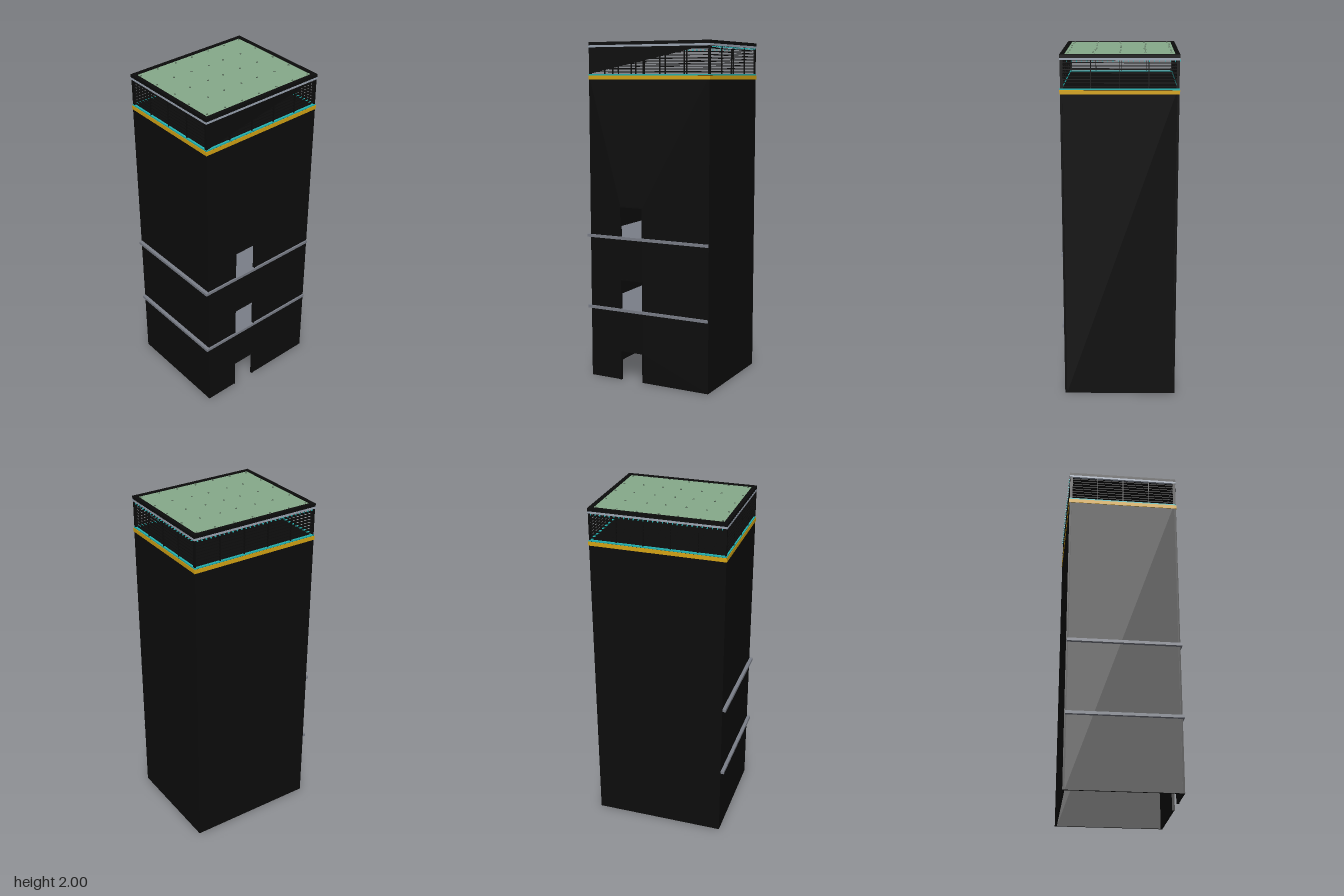
import * as THREE from 'three';

const mat = (name, color, extra = {}) => Object.assign(new THREE.MeshStandardMaterial({ color, ...extra }), { name });

export function createModel() {
  const black = mat('black cladding', 0x0c0c0c);
  const blackSheet = mat('black sheet', 0x0c0c0c, { side: THREE.DoubleSide });
  const grey = mat('concrete grey', 0x7a7e88);
  const pale = mat('pale metal', 0x9ca6b4);
  const yellow = mat('yellow trim', 0xd6a414);
  const teal = mat('teal trim', 0x22b4b4);
  const green = mat('roof green', 0x86aa8a);
  const darkGreen = mat('dark green', 0x4c5f4e);

  const X0 = -0.385, X1 = 0.395, Z = 0.325, T = 0.012;
  const model = new THREE.Group();
  model.name = 'tower';

  // Box given by its min and max corners
  const box = (name, m, x0, x1, y0, y1, z0, z1, parent = model) => {
    const mesh = new THREE.Mesh(new THREE.BoxGeometry(x1 - x0, y1 - y0, z1 - z0), m);
    mesh.position.set((x0 + x1) / 2, (y0 + y1) / 2, (z0 + z1) / 2);
    mesh.name = name;
    parent.add(mesh);
    return mesh;
  };

  // Four strips around the tower: o is the overhang, t the thickness inwards
  const ring = (name, m, y0, y1, o, t) => {
    const g = new THREE.Group();
    g.name = name;
    const a = X0 - o, b = X1 + o, c = Z + o;
    box(name + 'Front', m, a, b, y0, y1, c - t, c, g);
    box(name + 'Back', m, a, b, y0, y1, -c, -c + t, g);
    box(name + 'Right', m, a, a + t, y0, y1, -c + t, c - t, g);
    box(name + 'Left', m, b - t, b, y0, y1, -c + t, c - t, g);
    model.add(g);
  };

  // Front wall, with a notch at the ground and two doorways above
  const D0 = -0.178, D1 = -0.035, DH = 0.175;
  const floors = [0.435, 0.87];
  const wall = new THREE.Shape([
    [X0, 0], [D0, 0], [D0, DH], [D1, DH], [D1, 0], [X1, 0], [X1, 1.81], [X0, 1.81],
  ].map(p => new THREE.Vector2(...p)));
  for (const y of floors) {
    wall.holes.push(new THREE.Path([
      [D0, y], [D0, y + DH], [D1, y + DH], [D1, y],
    ].map(p => new THREE.Vector2(...p))));
  }
  const front = new THREE.Mesh(new THREE.ExtrudeGeometry(wall, { depth: T, bevelEnabled: false }), black);
  front.position.z = Z - T;
  front.name = 'frontWall';
  model.add(front);

  // Other walls and the terrace deck
  box('backWall', black, X0, X1, 0, 1.81, -Z, -Z + T);
  box('rightWall', black, X0, X0 + T, 0, 1.81, -Z + T, Z - T);
  box('leftWall', black, X1 - T, X1, 0, 1.81, -Z + T, Z - T);
  box('terraceDeck', black, X0 + T, X1 - T, 1.79, 1.812, -Z + T, Z - T);

  // Door frames
  for (const y of [0, ...floors]) {
    const f = 0.006;
    box('doorJamb', black, D0 - f, D0, y, y + DH + f, Z - T, Z + 0.004);
    box('doorJamb', black, D1, D1 + f, y, y + DH + f, Z - T, Z + 0.004);
    box('doorLintel', black, D0, D1, y + DH, y + DH + f, Z - T, Z + 0.004);
  }

  // Floor slabs that stick out as ledges at the front and right
  for (const y of floors) {
    box('floorSlab', grey, X0 - 0.02, X1 - 0.002, y - 0.016, y + 0.001, -Z + 0.004, Z + 0.009);
  }

  // Trim around the terrace
  ring('yellowBand', yellow, 1.785, 1.808, 0.003, 0.015);
  ring('tealStrip', teal, 1.809, 1.817, 0.001, 0.012);
  ring('handrail', pale, 1.97, 1.982, 0.002, 0.014);

  // Thin rails and posts of the open storey
  for (let i = 0; i < 8; i++) ring('rail', black, 1.828 + i * 0.018, 1.8315 + i * 0.018, -0.001, 0.012);
  for (const z of [-Z + 0.005, Z - 0.005]) {
    for (let i = 0; i < 6; i++) {
      const x = X0 + 0.006 + i * (X1 - X0 - 0.012) / 5;
      box('post', black, x - 0.003, x + 0.003, 1.812, 1.985, z - 0.004, z + 0.004);
    }
  }
  for (const x of [X0 + 0.005, X1 - 0.005]) {
    for (let i = 0; i < 5; i++) {
      const z = (i - 2) * 0.158, w = i % 4 ? 0.002 : 0.008;
      box('post', black, x - 0.004, x + 0.004, 1.812, 1.985, z - w, z + w);
    }
  }

  // Triangular screen in the front opening
  const tri = new THREE.Shape([
    new THREE.Vector2(X0, 1.817), new THREE.Vector2(X1 - 0.02, 1.972), new THREE.Vector2(X0, 1.972),
  ]);
  const screen = new THREE.Mesh(new THREE.ShapeGeometry(tri), blackSheet);
  screen.position.z = Z - 0.0005;
  screen.name = 'frontScreen';
  model.add(screen);

  // Roof slab, rim and green surface
  box('roofSlab', black, X0 + 0.01, X1 - 0.01, 1.978, 1.988, -Z + 0.01, Z - 0.01);
  ring('roofRim', black, 1.982, 2, 0.001, 0.023);
  box('greenRoof', green, X0 + 0.022, X1 - 0.022, 1.988, 1.995, -Z + 0.022, Z - 0.022);

  // Small plants in slightly uneven rows
  let seed = 7;
  const jitter = () => ((seed = (seed * 16807) % 2147483647) / 2147483647 - 0.5) * 0.014;
  const dot = new THREE.SphereGeometry(0.0055, 8, 6);
  for (let r = 0; r < 5; r++) {
    for (let c = 0; c < 7; c++) {
      const plant = new THREE.Mesh(dot, darkGreen);
      plant.position.set(-0.343 + c * 0.1165 + jitter(), 1.995, (r - 2) * 0.143 + jitter());
      plant.name = 'roofPlant';
      model.add(plant);
    }
  }

  // Tiny studs under the rim at the back and left
  for (let i = 0; i < 28; i++) {
    const x = -0.36 + i * 0.0273;
    box('backStud', teal, x - 0.002, x + 0.002, 1.962, 1.969, -Z - 0.006, -Z + 0.004);
  }
  for (let i = 0; i < 22; i++) {
    const z = -0.3 + i * 0.028;
    box('leftStud', teal, X1 - 0.004, X1 + 0.006, 1.962, 1.968, z - 0.0015, z + 0.0015);
  }
  return model;
}
